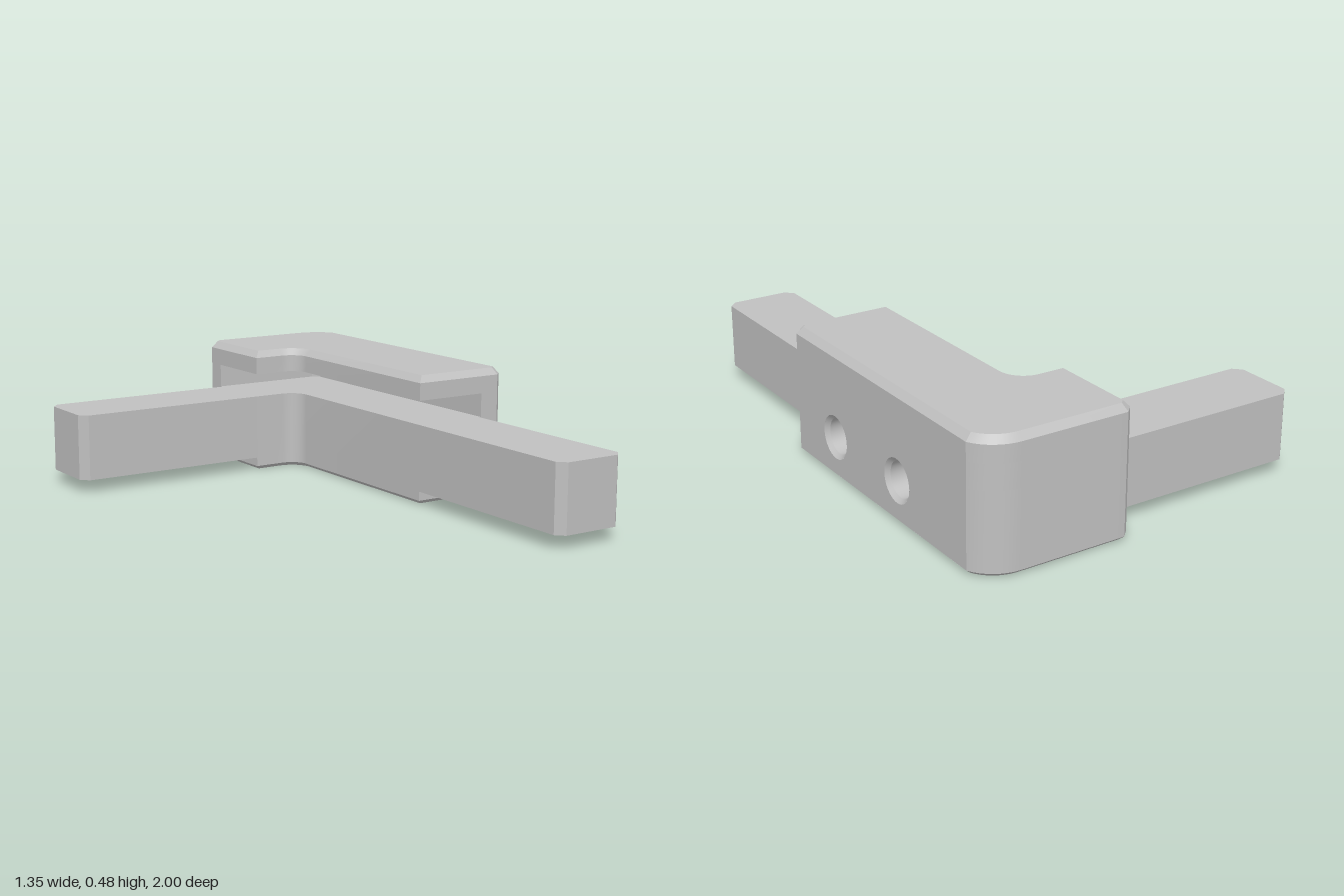
import * as THREE from 'three';
import { toCreasedNormals } from 'three/addons/utils/BufferGeometryUtils.js';

// Plan outlines are counter-clockwise points (x, -z).
const P = (x, y) => new THREE.Vector2(x, y);

function arc(cx, cy, r, from, to, steps = 8) {
  return Array.from({ length: steps + 1 }, (_, i) => {
    const a = THREE.MathUtils.degToRad(from + (to - from) * i / steps);
    return P(cx + r * Math.cos(a), cy + r * Math.sin(a));
  });
}

// Moves every edge of an outline inwards by d
function inset(pts, d) {
  const normal = (a, b) => P(a.y - b.y, b.x - a.x).normalize();
  return pts.map((p, i) => {
    const n1 = normal(pts[(i + pts.length - 1) % pts.length], p);
    const n2 = normal(p, pts[(i + 1) % pts.length]);
    return n1.clone().add(n2).multiplyScalar(d / (1 + n1.dot(n2))).add(p);
  });
}

// Solid between a lower outline at y0 and an upper outline at y1
function loft(lower, y0, upper, y1) {
  const v = [];
  const put = (p, y) => v.push(p.x, y, -p.y);
  lower.forEach((a, i) => {
    const j = (i + 1) % lower.length;
    const b = lower[j], c = upper[j], d = upper[i];
    put(a, y0); put(b, y0); put(c, y1);
    put(a, y0); put(c, y1); put(d, y1);
  });
  for (const [i, j, k] of THREE.ShapeUtils.triangulateShape(upper, [])) {
    put(upper[i], y1); put(upper[j], y1); put(upper[k], y1);
    put(lower[i], y0); put(lower[k], y0); put(lower[j], y0);
  }
  const g = new THREE.BufferGeometry();
  g.setAttribute('position', new THREE.Float32BufferAttribute(v, 3));
  return toCreasedNormals(g, 0.3);
}

export function createModel() {
  const model = new THREE.Group();
  model.name = 'cornerConnector';
  const grey = new THREE.MeshStandardMaterial({ color: 0xc0c0c0, side: THREE.DoubleSide });
  grey.name = 'grey';
  const add = (name, geometry) => {
    const m = new THREE.Mesh(geometry, grey);
    m.name = name;
    model.add(m);
    return m;
  };

  // Body outline, and the same with a recess for the drilled side plate
  const recessX = 0.58;
  const inner = [P(0.095, 0.615), ...arc(0.215, 0.545, 0.07, 90, 0), P(0.285, -0.22)];
  const front = [P(0.645, -0.22), P(0.675, -0.19)];
  const recess = [P(recessX, -0.19), P(recessX, 0.91)];
  const back = [...arc(0.53, 0.838, 0.162, 26.4, 90), P(0.125, 1), P(0.095, 0.97)];
  const full = [...inner, ...front, ...back];
  const core = [...inner, ...front, ...recess, ...back];
  const wall = [P(0.095, 0.9), P(0.545, 0.9), P(0.57, 0.875), P(0.57, -0.22),
    ...front, ...recess, ...back];

  // Body in layers, with an open slot between base and lid
  add('bottomChamfer', loft(inset(full, 0.018), 0, full, 0.015));
  add('base', loft(core, 0.015, core, 0.3));
  add('slotWall', loft(wall, 0.3, wall, 0.39));
  add('lid', loft(core, 0.39, core, 0.455));
  add('topChamfer', loft(full, 0.455, inset(full, 0.023), 0.48));

  // Side plate with two countersunk screw holes
  const plate = new THREE.Shape([P(-0.19, 0.015), P(0.91, 0.015), P(0.91, 0.455), P(-0.19, 0.455)]);
  const depth = 0.675 - recessX;
  for (const u of [0.075, 0.49]) {
    plate.holes.push(new THREE.Path().absarc(u, 0.155, 0.08, 0, Math.PI * 2, true));
    const sink = toCreasedNormals(new THREE.LatheGeometry(
      [P(0.08, depth), P(0.065, depth - 0.015), P(0.065, 0)], 40), 0.4);
    sink.rotateZ(-Math.PI / 2);
    add('screwHole', sink).position.set(recessX, 0.155, -u);
  }
  const plateGeometry = new THREE.ExtrudeGeometry(plate, { depth, bevelEnabled: false, curveSegments: 40 });
  plateGeometry.rotateY(Math.PI / 2);
  add('sidePlate', plateGeometry).position.x = recessX;

  // Insert bars with chamfered tips
  const c = 0.03;
  const frontBar = [P(0.285, -0.22), P(0.285, -1 + c), P(0.285 + c, -1),
    P(0.563 - c, -1), P(0.563, -1 + c), P(0.563, -0.22)];
  const sideBar = [P(0.095, 0.615), P(0.095, 0.89), P(-0.675 + c, 0.89),
    P(-0.675, 0.89 - c), P(-0.675, 0.615 + c), P(-0.675 + c, 0.615)];
  add('frontBar', loft(frontBar, 0.05, frontBar, 0.3));
  add('sideBar', loft(sideBar, 0.05, sideBar, 0.3));
  return model;
}
